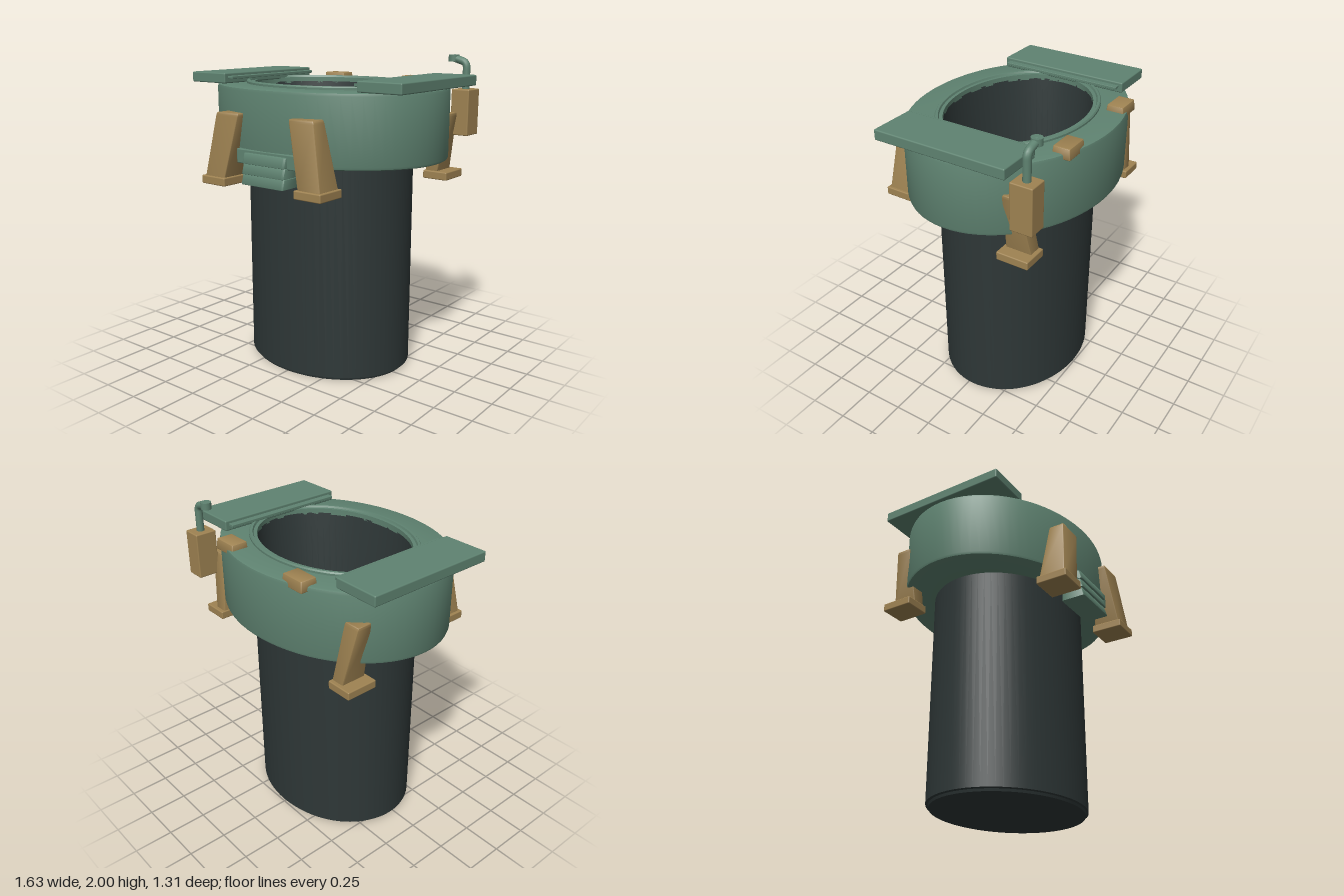
import * as THREE from 'three';
import { toCreasedNormals } from 'three/addons/utils/BufferGeometryUtils.js';
import { RoundedBoxGeometry } from 'three/addons/geometries/RoundedBoxGeometry.js';

export function createModel() {
  const model = new THREE.Group();
  const material = (name, color) => {
    const m = new THREE.MeshStandardMaterial({ color });
    m.name = name;
    return m;
  };
  const green = material('weathered green', 0x5f8371);
  const tan = material('ochre tan', 0x9f8352);
  const dark = material('dark steel', 0x2e3737);

  const add = (name, geometry, mat) => {
    const mesh = new THREE.Mesh(geometry, mat);
    mesh.name = name;
    model.add(mesh);
    return mesh;
  };

  // Box given by its limits on each axis, with softly rounded edges
  const block = (name, mat, [x0, x1], [y0, y1], [z0, z1], r = 0.007) => {
    const g = new RoundedBoxGeometry(x1 - x0, y1 - y0, z1 - z0, 2, r);
    g.translate((x0 + x1) / 2, (y0 + y1) / 2, (z0 + z1) / 2);
    return add(name, g, mat);
  };

  // Lathe squashed along z into an oval
  const oval = (name, mat, points, ratio, zc) => {
    const g = new THREE.LatheGeometry(points.map(p => new THREE.Vector2(...p)), 72);
    g.scale(1, 1, ratio);
    g.translate(0, 0, zc);
    return add(name, toCreasedNormals(g, 0.6), mat);
  };

  // Box whose top and bottom rectangles [x0, x1, z0, z1] differ
  const taper = (name, mat, y0, bottom, y1, top) => {
    const g = new RoundedBoxGeometry(1, 1, 1, 2, 0.05);
    const p = g.attributes.position;
    const mix = THREE.MathUtils.lerp;
    for (let i = 0; i < p.count; i++) {
      const u = p.getX(i) + 0.5, v = p.getY(i) + 0.5, w = p.getZ(i) + 0.5;
      const [a, b, c, d] = bottom.map((n, k) => mix(n, top[k], v));
      p.setXYZ(i, mix(a, b, u), mix(y0, y1, v), mix(c, d, w));
    }
    g.deleteAttribute('uv');
    return add(name, toCreasedNormals(g, 0.7), mat);
  };

  const flip = (s, [a, b]) => (s > 0 ? [a, b] : [-b, -a]);
  const flipRect = (s, [a, b, c, d]) => [...flip(s, [a, b]), c, d];

  // Shaft: outer shell, and inner lining with a floor
  oval('shaft', dark, [[0, 0], [0.55, 0], [0.555, 0.015], [0.57, 0.02], [0.57, 1.45]], 0.807, -0.04);
  oval('shaftLining', dark, [[0.54, 1.815], [0.535, 1.8], [0.535, 0.04], [0, 0.04]], 0.768, -0.045);

  // Collar and raised rim around the opening
  oval('collar', green, [
    [0.545, 1.38], [0.782, 1.38], [0.795, 1.386], [0.8, 1.4], [0.8, 1.8],
    [0.795, 1.815], [0.782, 1.82], [0.545, 1.82]
  ], 0.769, -0.045);
  oval('rim', green, [
    [0.592, 1.81], [0.592, 1.832], [0.584, 1.84], [0.566, 1.84], [0.56, 1.828],
    [0.535, 1.828], [0.535, 1.79]
  ], 0.768, -0.045);

  for (const s of [1, -1]) {
    // Open hatch leaves with a thin sealing lip
    block('hatchLeaf', green, flip(s, [0.515, 0.813]), [1.82, 1.885], [-0.47, 0.385], 0.008);
    block('hatchLip', green, flip(s, [0.475, 0.56]), [1.848, 1.866], [-0.445, 0.355], 0.003);

    // Front braces
    block('frontFoot', tan, flip(s, [0.275, 0.47]), [1.225, 1.277], [0.45, 0.652]);
    taper('frontBrace', tan, 1.26, flipRect(s, [0.293, 0.455, 0.46, 0.637]),
      1.67, flipRect(s, [0.197, 0.378, 0.5, 0.598]));

    // Rear braces
    block('rearFoot', tan, flip(s, [0.53, 0.7]), [1.225, 1.277], [-0.542, -0.335]);
    taper('rearBrace', tan, 1.26, flipRect(s, [0.535, 0.62, -0.52, -0.352]),
      1.645, flipRect(s, [0.58, 0.69, -0.465, -0.37]));

    // Top clamps on the rear of the collar
    taper('topClamp', tan, 1.79, flipRect(s, [0.232, 0.405, -0.618, -0.502]),
      1.855, flipRect(s, [0.24, 0.397, -0.61, -0.508]));

    // Brackets inside the opening
    block('innerBracket', green, flip(s, [0.24, 0.34]), [1.61, 1.69], [-0.43, -0.356], 0.004);
    block('innerBracketPlate', tan, flip(s, [0.25, 0.305]), [1.62, 1.675], [-0.36, -0.352], 0.002);
  }

  // Vertical conduits on the rear inner wall
  for (const x of [-0.04, 0.03, 0.1, 0.15]) {
    const g = new THREE.CylinderGeometry(0.009, 0.009, 1.3, 8);
    g.translate(x, 1.15, -0.045 - 0.41 * Math.sqrt(1 - (x / 0.535) ** 2) + 0.003);
    add('conduit', g, green);
  }

  // Front step with its backing panel
  block('stepPanel', green, [-0.24, 0.24], [1.368, 1.457], [0.42, 0.574]);
  for (let i = 0; i < 3; i++) {
    const y = 1.25 + i * 0.063;
    taper('step', green, y, [-0.167, 0.164, 0.46, 0.618 - i * 0.006],
      y + 0.064, [-0.167, 0.164, 0.46, 0.6 - i * 0.006]);
  }

  // Control box with a bent pipe and its head
  block('controlBox', tan, [0.643, 0.765], [1.5, 1.79], [-0.607, -0.465]);
  const bend = new THREE.CurvePath();
  const v = (x, y) => new THREE.Vector3(x, y, -0.537);
  bend.add(new THREE.LineCurve3(v(0.705, 1.77), v(0.705, 1.92)));
  bend.add(new THREE.QuadraticBezierCurve3(v(0.705, 1.92), v(0.705, 1.953), v(0.675, 1.962)));
  bend.add(new THREE.LineCurve3(v(0.675, 1.962), v(0.612, 1.98)));
  add('pipe', new THREE.TubeGeometry(bend, 30, 0.024, 14), green);
  const head = new THREE.CylinderGeometry(0.033, 0.033, 0.043, 20);
  head.translate(0.612, 1.9785, -0.537);
  add('pipeHead', head, green);

  return model;
}
